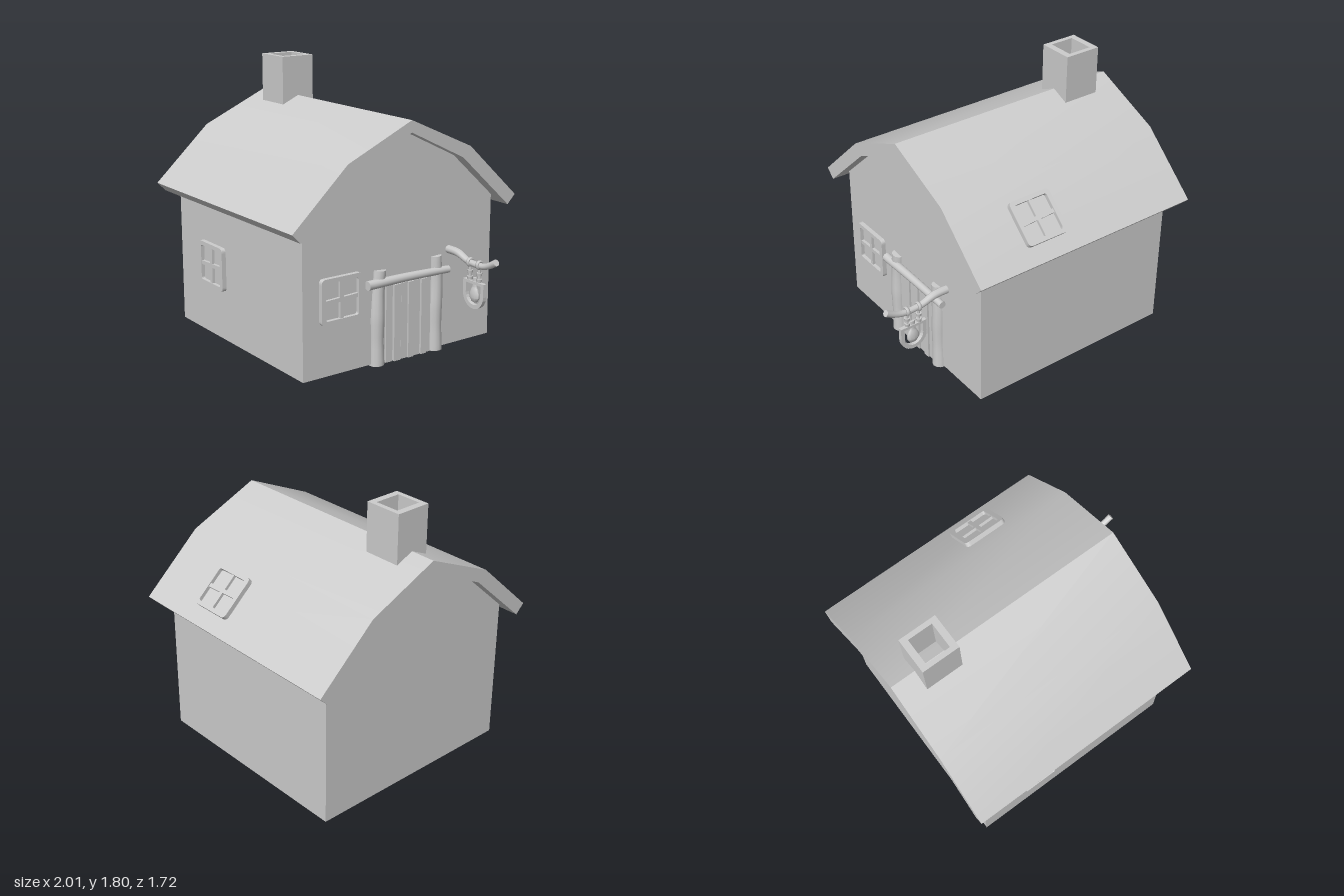
import * as THREE from 'three';
import { toCreasedNormals } from 'three/addons/utils/BufferGeometryUtils.js';

const grey = new THREE.MeshStandardMaterial({ color: 0xcccccc });
const greyDouble = new THREE.MeshStandardMaterial({ color: 0xcccccc, side: THREE.DoubleSide });
const v2 = (p) => new THREE.Vector2(p[0], p[1]);
const v3 = (p) => new THREE.Vector3(p[0], p[1], p[2]);

function add(parent, name, geometry, pos = [0, 0, 0], material = grey) {
  const mesh = new THREE.Mesh(geometry, material);
  mesh.name = name;
  mesh.position.set(...pos);
  parent.add(mesh);
  return mesh;
}

function roundedRect(target, w, h, r) {
  const x = w / 2, y = h / 2;
  target.moveTo(-x + r, -y).lineTo(x - r, -y);
  target.quadraticCurveTo(x, -y, x, -y + r).lineTo(x, y - r);
  target.quadraticCurveTo(x, y, x - r, y).lineTo(-x + r, y);
  target.quadraticCurveTo(-x, y, -x, y - r).lineTo(-x, -y + r);
  target.quadraticCurveTo(-x, -y, -x + r, -y);
  return target;
}

const extrude = (shape, depth) =>
  new THREE.ExtrudeGeometry(shape, { depth, bevelEnabled: false, curveSegments: 6 });

// Round limb along a list of points, with a radius for each, closed at both ends
function limb(points, radii, sides = 12, steps = 16) {
  const curve = new THREE.CatmullRomCurve3(points.map(v3));
  const geo = new THREE.TubeGeometry(curve, steps, 1, sides, false);
  const pos = geo.attributes.position, p = new THREE.Vector3();
  for (let i = 0; i <= steps; i++) {
    const c = curve.getPointAt(i / steps);
    const f = (i / steps) * (radii.length - 1), k = Math.min(Math.floor(f), radii.length - 2);
    const r = THREE.MathUtils.lerp(radii[k], radii[k + 1], f - k);
    for (let j = 0; j <= sides; j++) {
      const n = i * (sides + 1) + j;
      p.fromBufferAttribute(pos, n).sub(c).multiplyScalar(r).add(c);
      pos.setXYZ(n, p.x, p.y, p.z);
    }
  }
  // End caps as fans to the centre of the first and last ring
  const index = Array.from(geo.index.array), xyz = Array.from(pos.array);
  for (const i of [0, steps]) {
    const centre = xyz.length / 3;
    xyz.push(...curve.getPointAt(i / steps).toArray());
    for (let j = 0; j < sides; j++) {
      const a = i * (sides + 1) + j;
      index.push(centre, i ? a + 1 : a, i ? a : a + 1);
    }
  }
  const out = new THREE.BufferGeometry();
  out.setAttribute('position', new THREE.Float32BufferAttribute(xyz, 3));
  out.setIndex(index);
  return toCreasedNormals(out, 0.8);
}

// Four-pane window facing +z, its back plate just through the wall
function makeWindow(name) {
  const g = new THREE.Group();
  g.name = name;
  const frame = roundedRect(new THREE.Shape(), 0.3, 0.29, 0.03);
  frame.holes.push(roundedRect(new THREE.Path(), 0.24, 0.235, 0.015));
  add(g, 'windowFrame', extrude(frame, 0.03));
  add(g, 'windowPane', extrude(roundedRect(new THREE.Shape(), 0.3, 0.29, 0.03), 0.01), [0, 0, -0.005]);
  add(g, 'uprightBar', new THREE.BoxGeometry(0.026, 0.24, 0.022), [0, 0, 0.013]);
  add(g, 'crossBar', new THREE.BoxGeometry(0.245, 0.026, 0.022), [0, 0, 0.013]).rotation.z = 0.04;
  return g;
}

// Open-bottomed walls: two gable ends and two side walls
function makeWalls() {
  const g = new THREE.Group();
  g.name = 'walls';
  const gable = new THREE.Shape([[-0.735, 0.01], [0.735, 0.01], [0.735, 0.96],
    [0.41, 1.255], [0, 1.455], [-0.41, 1.255], [-0.735, 0.96]].map(v2));
  for (const x of [-0.91, 0.555]) {
    const geo = new THREE.ShapeGeometry(gable).rotateY(x > 0 ? Math.PI / 2 : -Math.PI / 2);
    add(g, 'gableWall', geo, [x, 0, 0], greyDouble);
  }
  for (const s of [-1, 1]) {
    const geo = new THREE.PlaneGeometry(1.465, 0.95).rotateY(s > 0 ? 0 : Math.PI);
    add(g, 'sideWall', geo, [-0.1775, 0.485, s * 0.735], greyDouble);
  }
  return g;
}

// Doorway: log posts, lintel log and uneven planks
function makeDoor() {
  const g = new THREE.Group();
  g.name = 'door';
  add(g, 'doorPost', limb([[0.547, 0, 0.183], [0.547, 0.2, 0.185], [0.547, 0.45, 0.18], [0.547, 0.61, 0.168]],
    [0.051, 0.047, 0.052, 0.046, 0.046]));
  add(g, 'doorPost', limb([[0.547, 0, -0.282], [0.547, 0.25, -0.28], [0.547, 0.45, -0.285], [0.547, 0.625, -0.278]],
    [0.052, 0.047, 0.05, 0.046, 0.042]));
  add(g, 'doorLintel', limb([[0.577, 0.533, 0.275], [0.577, 0.535, 0], [0.577, 0.526, -0.365]],
    [0.03, 0.027, 0.024]));
  const planks = [[0.098, 0.05, 0.012], [0.04, 0.052, 0.022], [-0.018, 0.05, 0.014],
    [-0.066, 0.042, 0.024], [-0.118, 0.05, 0.014], [-0.17, 0.045, 0.024], [-0.212, 0.036, 0.012]];
  for (const [z, w, d] of planks) {
    add(g, 'doorPlank', new THREE.BoxGeometry(d, 0.5, w), [0.555 + d / 2, 0.25, z]);
  }
  return g;
}

// Branch bracket with a hanging U-shaped lantern
function makeLantern() {
  const g = new THREE.Group();
  g.name = 'hangingLantern';
  add(g, 'branch', limb([[0.54, 0.65, 0], [0.65, 0.647, 0], [0.75, 0.615, 0], [0.88, 0.612, 0], [0.94, 0.632, 0], [0.998, 0.665, 0]],
    [0.026, 0.025, 0.02, 0.02, 0.022], 10, 20));
  for (const x of [0.765, 0.85]) {
    add(g, 'ropeRing', new THREE.TorusGeometry(0.023, 0.008, 6, 14).rotateY(Math.PI / 2).scale(1.5, 1, 1), [x, 0.615, 0]);
    add(g, 'hanger', new THREE.CylinderGeometry(0.009, 0.009, 0.09, 8), [x, 0.55, 0]);
    for (const y of [0.555, 0.515]) {
      add(g, 'hangerKnot', new THREE.CylinderGeometry(0.019, 0.016, 0.02, 8), [x, y, 0]);
    }
  }
  const ring = new THREE.Shape();
  ring.moveTo(-0.093, 0.01).lineTo(-0.093, -0.075).absarc(0, -0.075, 0.093, Math.PI, 2 * Math.PI).lineTo(0.093, 0.01);
  const hole = new THREE.Path();
  hole.moveTo(-0.067, -0.008).lineTo(-0.067, -0.075).absarc(0, -0.075, 0.067, Math.PI, 2 * Math.PI).lineTo(0.067, -0.008);
  ring.holes.push(hole);
  add(g, 'lanternFrame', extrude(ring, 0.026), [0.811, 0.492, -0.013]);
  const drop = [[0, 0.362], [0.025, 0.37], [0.042, 0.395], [0.042, 0.425], [0.028, 0.452],
    [0.018, 0.465], [0.018, 0.525], [0, 0.525]].map(v2);
  add(g, 'lanternDrop', toCreasedNormals(new THREE.LatheGeometry(drop, 10), 0.8), [0.811, 0, 0]).scale.z = 0.45;
  g.position.z = -0.382;
  return g;
}

export function createModel() {
  const model = new THREE.Group();
  model.name = 'cottage';
  model.add(makeWalls());

  // Two-pitch roof, extruded along x
  const half = [[0.47, 1.32], [0.86, 0.96], [0.8, 0.9], [0.41, 1.255]];
  const mirrored = half.map(([z, y]) => [-z, y]).reverse();
  const profile = new THREE.Shape([[0, 1.53], ...half, [0, 1.455], ...mirrored].map(v2));
  const roof = extrude(profile, 1.645).rotateY(Math.PI / 2);
  add(model, 'roof', toCreasedNormals(roof, 0.5), [-1, 0, 0]);

  // Hollow chimney on the ridge
  const stack = new THREE.Shape([[-0.127, -0.12], [0.127, -0.12], [0.127, 0.12], [-0.127, 0.12]].map(v2));
  stack.holes.push(new THREE.Path([[-0.083, -0.088], [0.083, -0.088], [0.083, 0.088], [-0.083, 0.088]].map(v2)));
  add(model, 'chimney', extrude(stack, 0.325).rotateX(-Math.PI / 2), [-0.703, 1.47, 0]);

  // Windows in the front wall, the door wall and the rear roof slope
  const front = makeWindow('frontWindow');
  front.position.set(-0.475, 0.49, 0.735);
  const side = makeWindow('sideWindow');
  side.position.set(0.555, 0.487, 0.467);
  side.rotation.y = Math.PI / 2;
  const dormer = makeWindow('roofWindow');
  dormer.position.set(0.092, 1.138, -0.67);
  dormer.lookAt(0.092, 1.138 + 0.735, -0.67 - 0.678);
  model.add(front, side, dormer, makeDoor(), makeLantern());
  return model;
}
